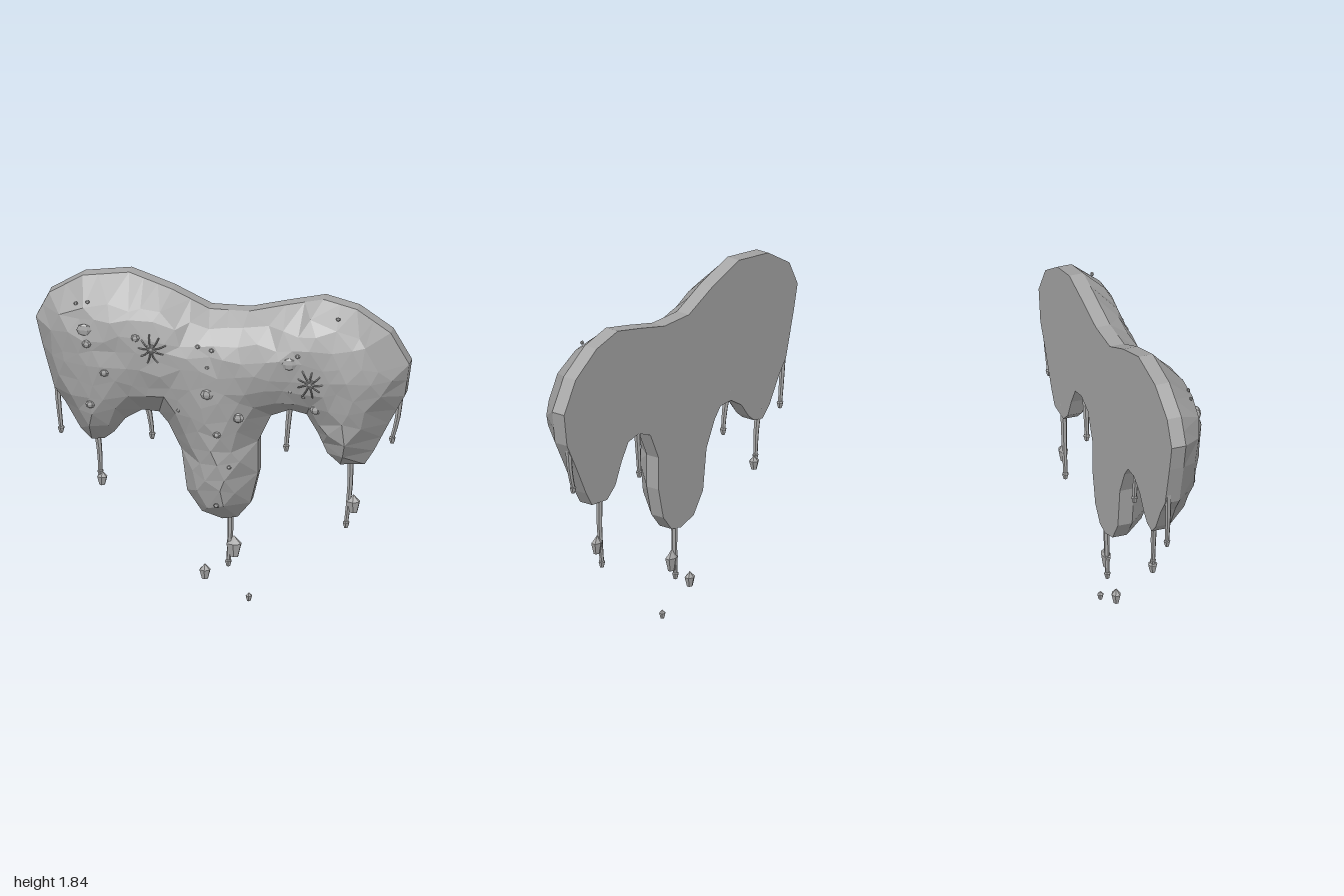
import * as THREE from 'three';

const BACK = -0.14, RIM = -0.06;

// Blob silhouette, clockwise from the left shoulder
const OUTLINE = [
  [-1, 1.55], [-0.93, 1.69], [-0.75, 1.8], [-0.5, 1.835], [-0.27, 1.755], [-0.07, 1.66], [0.14, 1.66], [0.34, 1.71],
  [0.54, 1.755], [0.72, 1.71], [0.9, 1.59], [1, 1.42], [0.975, 1.24], [0.89, 1.08], [0.81, 0.92], [0.76, 0.84],
  [0.63, 0.83], [0.56, 0.89], [0.51, 1], [0.45, 1.1], [0.36, 1.12], [0.26, 1.08], [0.19, 0.93], [0.19, 0.75],
  [0.15, 0.58], [0.08, 0.495], [0, 0.48], [-0.11, 0.515], [-0.19, 0.63], [-0.22, 0.86], [-0.29, 1], [-0.34, 1.06],
  [-0.43, 1.065], [-0.52, 1.01], [-0.58, 0.93], [-0.63, 0.89], [-0.7, 0.88], [-0.76, 0.94], [-0.84, 1.08],
  [-0.9, 1.16], [-0.965, 1.4],
].map(([x, y]) => new THREE.Vector2(x, y)).reverse();

let seed = 7;
const rand = () => (seed = (seed * 16807) % 2147483647) / 2147483647;

function inside(p) {
  let hit = false;
  OUTLINE.forEach((a, i) => {
    const b = OUTLINE[(i + 1) % OUTLINE.length];
    if ((a.y > p.y) !== (b.y > p.y) && p.x < a.x + (b.x - a.x) * (p.y - a.y) / (b.y - a.y)) hit = !hit;
  });
  return hit;
}

function edgeDistance(p) {
  return Math.min(...OUTLINE.map((a, i) => {
    const d = OUTLINE[(i + 1) % OUTLINE.length].clone().sub(a);
    const t = THREE.MathUtils.clamp(p.clone().sub(a).dot(d) / d.lengthSq(), 0, 1);
    return p.distanceTo(a.clone().addScaledVector(d, t));
  }));
}

// Rounded front: rises from the rim and levels off away from the edge
function domeZ(p) {
  const t = Math.min(edgeDistance(p) / 0.33, 1);
  return RIM + 0.185 * Math.pow(1 - (1 - t) ** 2, 0.62);
}

// Delaunay triangulation, counter-clockwise triangles
function delaunay(pts) {
  const n = pts.length;
  const all = [...pts, new THREE.Vector2(-30, -20), new THREE.Vector2(30, -20), new THREE.Vector2(0, 40)];
  const make = (a, b, c) => {
    const [A, B, C] = [all[a], all[b], all[c]];
    const bx = B.x - A.x, by = B.y - A.y, cx = C.x - A.x, cy = C.y - A.y;
    const d = 2 * (bx * cy - by * cx), b2 = bx * bx + by * by, c2 = cx * cx + cy * cy;
    const ux = (cy * b2 - by * c2) / d, uy = (bx * c2 - cx * b2) / d;
    return { v: [a, b, c], x: A.x + ux, y: A.y + uy, r: ux * ux + uy * uy, area: d / 4 };
  };
  let tris = [make(n, n + 1, n + 2)];
  for (let i = 0; i < n; i++) {
    const p = all[i], edges = new Map(), keep = [];
    for (const t of tris) {
      if ((p.x - t.x) ** 2 + (p.y - t.y) ** 2 >= t.r) { keep.push(t); continue; }
      for (let k = 0; k < 3; k++) {
        const a = t.v[k], b = t.v[(k + 1) % 3];
        if (!edges.delete(b + '_' + a)) edges.set(a + '_' + b, [a, b]);
      }
    }
    for (const [a, b] of edges.values()) keep.push(make(a, b, i));
    tris = keep;
  }
  return tris.filter(t => t.area > 1e-5 && t.v.every(k => k < n)).map(t => t.v);
}

function geometryFrom(points) {
  const g = new THREE.BufferGeometry().setFromPoints(points);
  g.computeVertexNormals();
  return g;
}

function domeGeometry() {
  const pts = [], zs = [];
  OUTLINE.forEach((a, i) => {
    const b = OUTLINE[(i + 1) % OUTLINE.length], n = Math.ceil(a.distanceTo(b) / 0.12);
    for (let k = 0; k < n; k++) {
      // a hair of noise keeps the triangulation well defined
      pts.push(a.clone().lerp(b, k / n).addScalar((rand() - 0.5) * 1e-4));
      zs.push(RIM);
    }
  });
  for (let row = 0; row < 17; row++) {
    for (let col = 0; col < 21; col++) {
      const p = new THREE.Vector2(-1 + (col + (row % 2) / 2) * 0.1, 0.5 + row * 0.085);
      p.x += (rand() - 0.5) * 0.05;
      p.y += (rand() - 0.5) * 0.05;
      if (!inside(p) || edgeDistance(p) < 0.05) continue;
      pts.push(p);
      zs.push(domeZ(p) + (rand() - 0.5) * 0.014);
    }
  }
  const out = [];
  for (const t of delaunay(pts)) {
    const c = new THREE.Vector2();
    t.forEach(k => c.addScaledVector(pts[k], 1 / 3));
    if (inside(c)) t.forEach(k => out.push(new THREE.Vector3(pts[k].x, pts[k].y, zs[k])));
  }
  return geometryFrom(out);
}

// Straight side wall plus the flat back
function backGeometry() {
  const out = [], at = (p, z) => new THREE.Vector3(p.x, p.y, z);
  OUTLINE.forEach((a, i) => {
    const b = OUTLINE[(i + 1) % OUTLINE.length];
    out.push(at(a, BACK), at(b, BACK), at(b, RIM), at(a, BACK), at(b, RIM), at(a, RIM));
  });
  for (const [a, b, c] of THREE.ShapeUtils.triangulateShape(OUTLINE, []))
    out.push(at(OUTLINE[a], BACK), at(OUTLINE[c], BACK), at(OUTLINE[b], BACK));
  return geometryFrom(out);
}

export function createModel() {
  const model = new THREE.Group();
  const grey = new THREE.MeshStandardMaterial({ color: 0xa6a6a6, flatShading: true });
  grey.name = 'slime grey';
  const add = (name, geo, parent = model) => {
    const m = new THREE.Mesh(geo, grey);
    m.name = name;
    parent.add(m);
    return m;
  };
  add('blobFront', domeGeometry());
  add('blobBack', backGeometry());

  // Faceted drop, one unit in half height, narrow at the bottom
  const drop = new THREE.LatheGeometry(
    [[0, -1], [0.4, -0.92], [0.72, 0.25], [0.35, 0.6], [0, 1]].map(([x, y]) => new THREE.Vector2(x, y)), 6);
  const addDrop = (name, x, y, z, size, parent) => {
    const m = add(name, drop, parent);
    m.position.set(x, y, z);
    m.scale.set(size, size, Math.min(size, 0.036));
    return m;
  };

  // Hanging strands: top x, top y, bend x, end x, end y, tip size
  const strands = [
    [-0.9, 1.24, -0.89, -0.875, 0.91, 0.026], [-0.69, 0.95, -0.67, -0.665, 0.68, 0.024],
    [-0.43, 1.13, -0.4, -0.388, 0.91, 0.026], [0.355, 1.17, 0.34, 0.33, 0.89, 0.026],
    [0.675, 0.9, 0.67, 0.65, 0.48, 0.026], [0.03, 0.56, 0.03, 0.02, 0.22, 0.026],
    [0.94, 1.22, 0.925, 0.897, 0.975, 0.026],
  ];
  strands.forEach(([x0, y0, xm, x1, y1, tip]) => {
    const g = new THREE.Group();
    g.name = 'strand';
    const mid = y0 + (y1 - y0) * 0.55;
    const path = new THREE.CatmullRomCurve3([
      new THREE.Vector3(x0, y0, -0.122), new THREE.Vector3(xm, mid, -0.12), new THREE.Vector3(x1, y1, -0.12)]);
    const tube = new THREE.TubeGeometry(path, 4, 0.017, 6);
    // taper toward the tip
    const pos = tube.attributes.position, v = new THREE.Vector3();
    for (let i = 0; i < pos.count; i++) {
      const t = Math.floor(i / 7) / 4, c = path.getPointAt(t);
      v.fromBufferAttribute(pos, i).sub(c).multiplyScalar(1.1 - 0.4 * t).add(c);
      pos.setXYZ(i, v.x, v.y, v.z);
    }
    add('strandStem', tube, g);
    addDrop('strandTip', x1, y1 - 0.005, -0.12, tip, g);
    model.add(g);
  });

  // Larger drops on the strands and falling drops
  [[-0.655, 0.64, 0.04], [0.69, 0.59, 0.053], [0.05, 0.305, 0.062], [-0.105, 0.152, 0.044], [0.13, 0.025, 0.025]]
    .forEach(([x, y, s]) => addDrop('drop', x, y, -0.118, s));

  // Flattened nubs scattered on the front: x, y, size
  [[-0.765, 1.685, 0.012], [-0.7, 1.7, 0.012], [-0.71, 1.56, 0.04], [-0.695, 1.485, 0.026], [-0.435, 1.535, 0.025],
    [-0.6, 1.33, 0.026], [-0.68, 1.135, 0.026], [-0.105, 1.5, 0.014], [-0.03, 1.485, 0.014], [-0.05, 1.395, 0.011],
    [-0.05, 1.245, 0.034], [-0.21, 1.13, 0.012], [0.11, 1.11, 0.032], [0, 1.015, 0.022], [0.06, 0.825, 0.013],
    [-0.01, 0.6, 0.015], [0.39, 1.445, 0.04], [0.435, 1.49, 0.014], [0.39, 1.28, 0.011], [0.46, 1.255, 0.011],
    [0.52, 1.175, 0.03], [0.635, 1.68, 0.013]].forEach(([x, y, s]) => {
    const m = add('nub', new THREE.SphereGeometry(1, 6, 4));
    m.position.set(x, y, domeZ(new THREE.Vector2(x, y)));
    m.scale.set(s, s * 0.85, Math.min(s, 0.02) * 0.7);
  });

  // Leggy clusters clinging to the front
  [[-0.35, 1.48, 0.3], [0.5, 1.34, 0]].forEach(([x, y, turn]) => {
    const g = new THREE.Group();
    g.name = 'leggyCluster';
    g.position.set(x, y, domeZ(new THREE.Vector2(x, y)) + 0.002);
    g.rotation.z = turn;
    add('clusterBody', new THREE.SphereGeometry(0.024, 6, 4), g).scale.set(1, 1.2, 0.5);
    for (let i = 0; i < 9; i++) {
      const a = (i / 9) * Math.PI * 2, r = 0.065 + 0.02 * rand(), b = a + 0.25 * (rand() - 0.5);
      const leg = new THREE.CatmullRomCurve3([
        new THREE.Vector3(0, 0, 0.004),
        new THREE.Vector3(Math.cos(b) * r * 0.55, Math.sin(b) * r * 0.55, 0.011),
        new THREE.Vector3(Math.cos(a) * r, Math.sin(a) * r, -0.004)]);
      add('clusterLeg', new THREE.TubeGeometry(leg, 4, 0.004, 4), g);
    }
    model.add(g);
  });
  return model;
}
